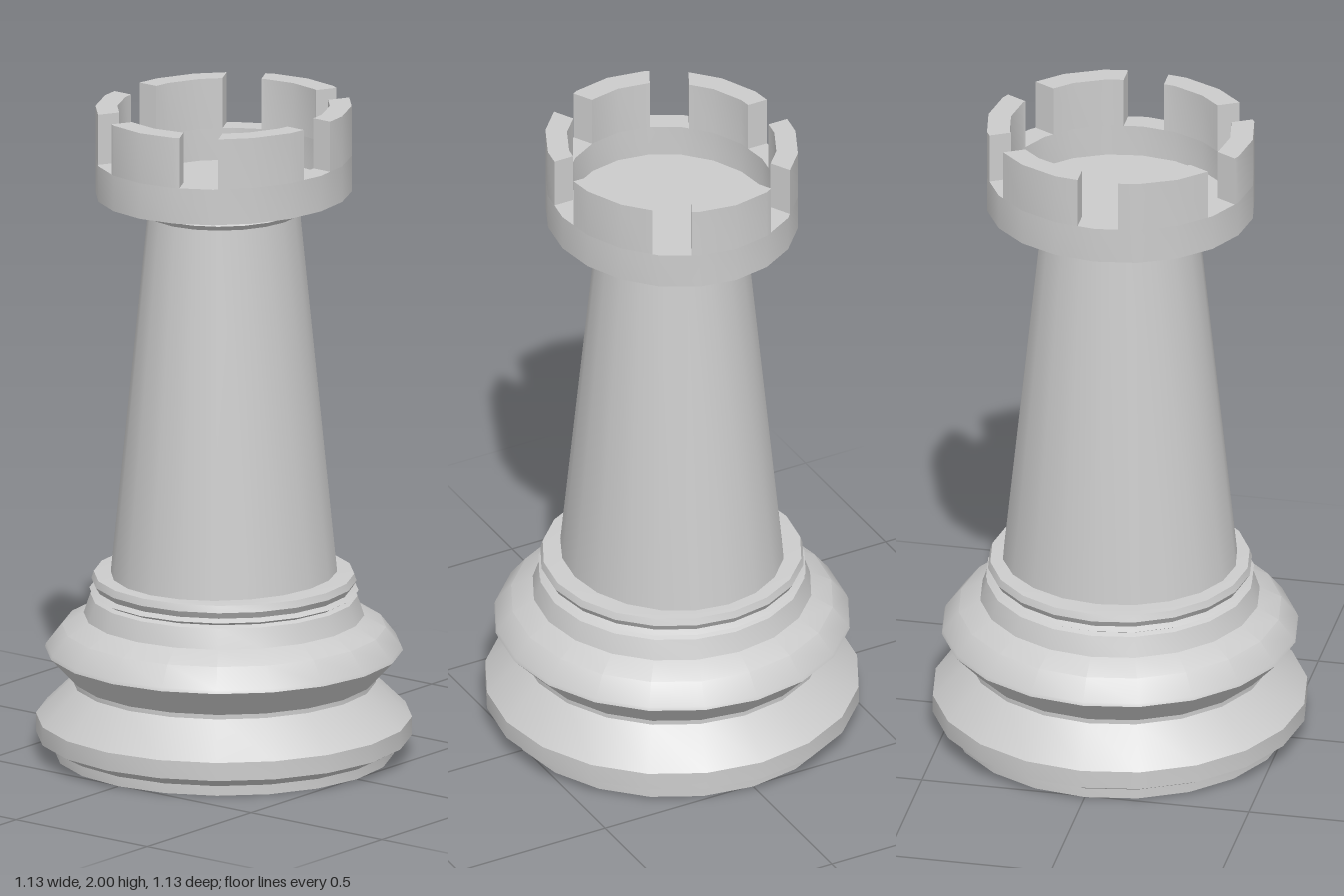
import * as THREE from 'three';
import { toCreasedNormals, mergeVertices } from 'three/addons/utils/BufferGeometryUtils.js';

const SIDES = 20;
const STEP = (Math.PI * 2) / SIDES;
const material = new THREE.MeshStandardMaterial({ color: 0xcccccc });

function addMesh(parent, name, geometry, depth = 1) {
  const mesh = new THREE.Mesh(toCreasedNormals(geometry, 0.42), material);
  mesh.name = name;
  mesh.scale.z = depth;
  parent.add(mesh);
}

// Turned part from [radius, height] pairs, listed from the bottom up
function turned(profile) {
  return new THREE.LatheGeometry(profile.map(([r, y]) => new THREE.Vector2(r, y)), SIDES);
}

// Point on a regular polygon at a given angle
function polygonPoint(radius, angle) {
  const within = angle - Math.floor(angle / STEP) * STEP - STEP / 2;
  const r = (radius * Math.cos(STEP / 2)) / Math.cos(within);
  return new THREE.Vector2(r * Math.cos(angle), r * Math.sin(angle));
}

// Polygon arc that keeps every corner between two angles
function arc(radius, from, to) {
  const points = [polygonPoint(radius, from)];
  for (let i = Math.ceil(from / STEP + 0.01); i * STEP < to - 0.005; i++) {
    points.push(polygonPoint(radius, i * STEP));
  }
  points.push(polygonPoint(radius, to));
  return points;
}

// Angle of one parallel-sided notch edge at a given radius
function notchEdge(notch, side, radius) {
  return notch + Math.asin((side * 0.0625 + 0.0075 * Math.sin(notch)) / radius);
}

export function createModel() {
  const model = new THREE.Group();
  model.name = 'rook';

  // Stepped base with two flared rings
  addMesh(model, 'base', turned([
    [0, 0], [0.508, 0], [0.508, 0.03], [0.563, 0.06], [0.563, 0.116],
    [0.455, 0.222], [0.455, 0.236], [0.536, 0.322], [0.532, 0.332],
    [0.485, 0.392], [0.42, 0.428], [0.4, 0.488],
    [0.385, 0.495], [0.403, 0.505], [0.385, 0.515],
    [0.397, 0.535], [0.39, 0.556], [0.34, 0.56], [0, 0.56],
  ]));

  // Tapered column
  addMesh(model, 'column', turned([[0.355, 0.545], [0.237, 1.68]]), 0.935);

  // Double collar below the crown
  addMesh(model, 'collar', turned([
    [0.232, 1.675], [0.245, 1.677], [0.26, 1.693], [0.238, 1.704],
    [0.247, 1.718], [0.238, 1.737],
  ]), 0.94);

  // Hollow crown, slightly narrower front to back
  const crown = new THREE.Group();
  crown.name = 'crown';
  crown.position.x = -0.002;
  model.add(crown);
  const OUTER = 0.404, INNER = 0.335, DEPTH = 0.92;
  addMesh(crown, 'crownBowl', turned([
    [0, 1.735], [OUTER, 1.735], [OUTER, 1.845], [INNER, 1.845],
    [INNER, 1.747], [0, 1.747],
  ]), DEPTH);

  // Six battlements between parallel-sided notches
  for (let i = 0; i < 6; i++) {
    const a = Math.PI / 6 + (i * Math.PI) / 3;
    const b = a + Math.PI / 3;
    const outer = arc(OUTER, notchEdge(a, 1, OUTER), notchEdge(b, -1, OUTER));
    const inner = arc(INNER, notchEdge(a, 1, INNER), notchEdge(b, -1, INNER));
    const shape = new THREE.Shape([...outer, ...inner.reverse()]);
    const geometry = new THREE.ExtrudeGeometry(shape, { depth: 0.155, bevelEnabled: false });
    geometry.rotateX(-Math.PI / 2).translate(0, 1.845, 0);
    addMesh(crown, 'battlement', mergeVertices(geometry), DEPTH);
  }
  return model;
}
